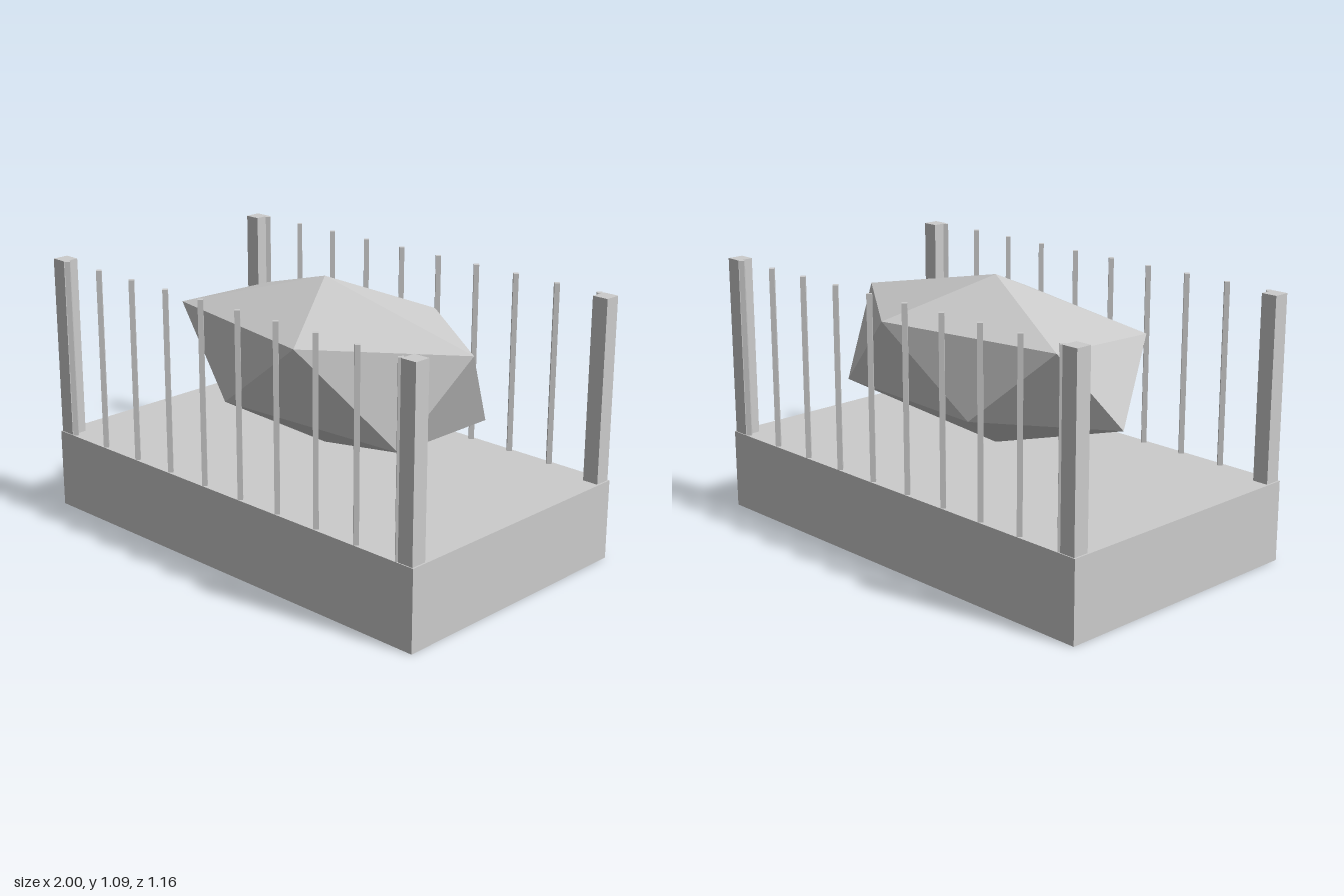
import * as THREE from 'three';

export function createModel() {
  const group = new THREE.Group();
  group.name = 'railedPlatformWithRock';
  const grey = new THREE.MeshStandardMaterial({ color: 0xcccccc, flatShading: true });
  grey.name = 'plain grey';

  const add = (name, geometry, x, y, z) => {
    const mesh = new THREE.Mesh(geometry, grey);
    mesh.name = name;
    mesh.position.set(x, y, z);
    group.add(mesh);
  };

  // Platform
  const baseTop = 0.333, railTop = 1.087;
  const railHeight = railTop - baseTop, railY = (railTop + baseTop) / 2;
  add('base', new THREE.BoxGeometry(2, baseTop, 1.164), 0, baseTop / 2, 0);

  // Corner posts and the two rows of diamond-section bars
  const post = new THREE.BoxGeometry(0.068, railHeight, 0.068);
  const bar = new THREE.CylinderGeometry(0.015, 0.015, railHeight, 4);
  for (const side of [1, -1]) {
    for (const end of [1, -1]) add('cornerPost', post, end * 0.959, railY, side * 0.544);
    for (let i = 0; i < 10; i++) add('railBar', bar, (i - 4.5) * 0.2035, railY, side * 0.567);
  }

  // Faceted rock: two staggered five-point rings closed by a top and a bottom point
  const top = [0, 1.09, 0], bottom = [0, 0.39, 0];
  const upper = [
    [0.77, 0.927, 0], [0.25, 0.934, 0.423], [-0.592, 0.915, 0.235],
    [-0.557, 0.915, -0.225], [0.235, 0.923, -0.397],
  ];
  const lower = [
    [0.63, 0.577, 0.253], [-0.208, 0.6, 0.356], [-0.695, 0.597, 0],
    [-0.21, 0.6, -0.35], [0.63, 0.577, -0.253],
  ];
  const corners = [];
  for (let i = 0; i < 5; i++) {
    const j = (i + 1) % 5;
    corners.push(
      top, upper[j], upper[i],
      upper[i], upper[j], lower[i],
      lower[i], upper[j], lower[j],
      bottom, lower[i], lower[j],
    );
  }
  const rock = new THREE.BufferGeometry();
  rock.setAttribute('position', new THREE.Float32BufferAttribute(corners.flat(), 3));
  rock.computeVertexNormals();
  add('rock', rock, 0, 0, 0);

  return group;
}
